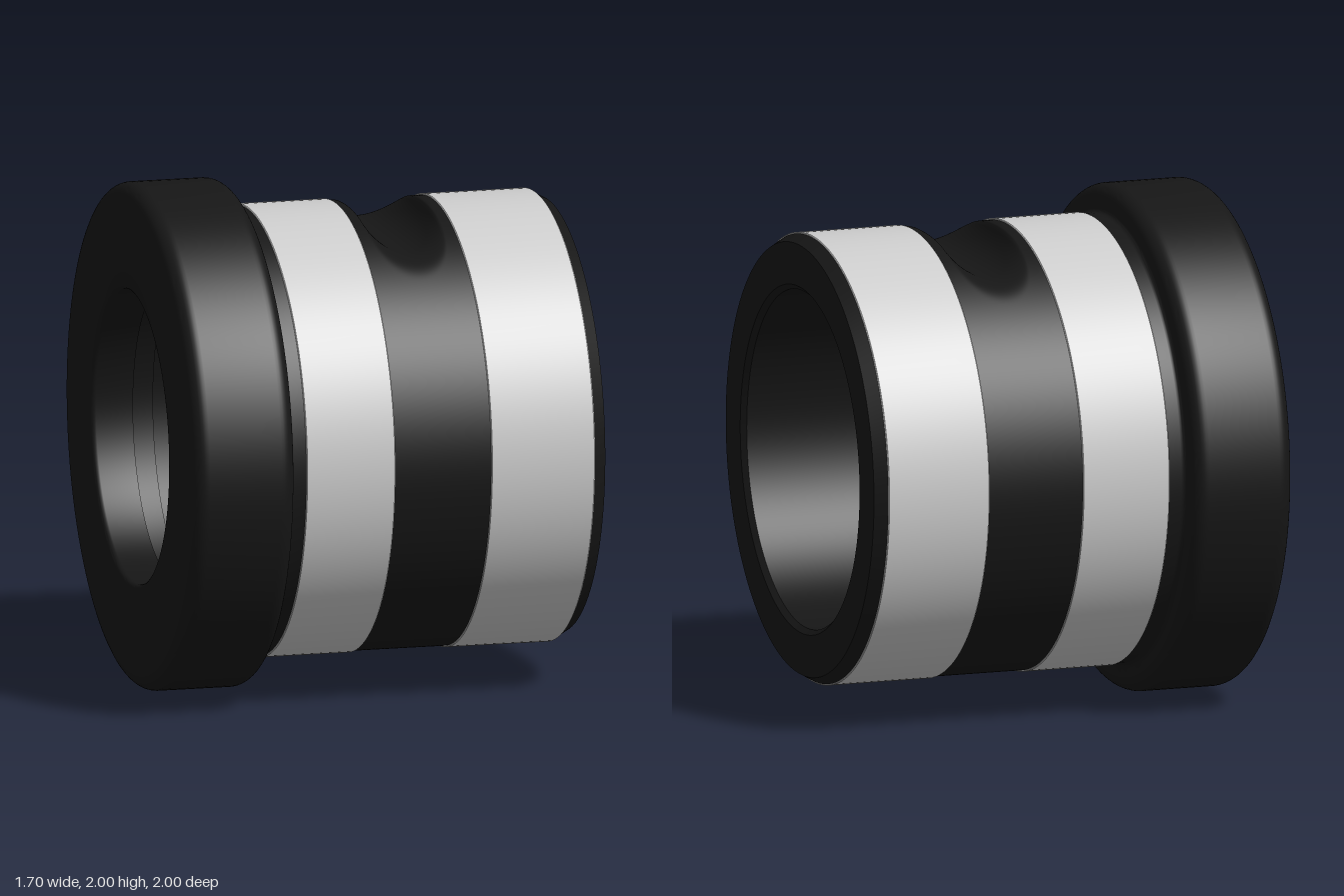
import * as THREE from 'three';
import { mergeVertices, toCreasedNormals } from 'three/addons/utils/BufferGeometryUtils.js';

const BLACK = 0x161616, GREY = 0xcccccc;

// Revolve [axial, radius] points about the x axis, seam at the bottom
function revolve(points, segments = 160) {
  const geo = new THREE.LatheGeometry(points.map(([x, r]) => new THREE.Vector2(r, x)), segments, Math.PI / 2);
  return geo.rotateZ(-Math.PI / 2);
}

// Quarter-round corner of a profile
function arc(cx, cr, radius, from, to, steps = 8) {
  return Array.from({ length: steps + 1 }, (_, i) => {
    const a = THREE.MathUtils.degToRad(from + (to - from) * i / steps);
    return [cx + radius * Math.cos(a), cr + radius * Math.sin(a)];
  });
}

function addPart(group, name, geo, color) {
  const mesh = new THREE.Mesh(geo, new THREE.MeshStandardMaterial({ color }));
  mesh.name = name;
  group.add(mesh);
}

// Middle sleeve with a rounded channel cut across its top
function notchedSleeve(x0, x1, radius) {
  const columns = 64, mid = (x0 + x1) / 2, cut = 0.15, cutHeight = 0.9, blend = 0.06;
  let geo = revolve(Array.from({ length: columns + 1 }, (_, i) => [x0 + (x1 - x0) * i / columns, radius]), 320);
  geo.deleteAttribute('uv');
  geo.deleteAttribute('normal');
  geo = mergeVertices(geo);
  const p = geo.attributes.position;
  for (let i = 0; i < p.count; i++) {
    const d = Math.abs(p.getX(i) - mid), y = p.getY(i);
    const floor = d < cut ? cutHeight - Math.sqrt(cut * cut - d * d) : cutHeight + (d - cut) * 2;
    const h = Math.max(blend - Math.abs(y - floor), 0) / blend;
    p.setY(i, Math.min(y, floor) - h * h * blend / 4);
  }
  geo.computeVertexNormals();
  return geo;
}

export function createModel() {
  const group = new THREE.Group();
  const part = (name, points, color) => addPart(group, name, toCreasedNormals(revolve(points), 0.45), color);

  // Rounded flange with its neck, starting from the lip of the opening
  part('flange', [
    [-0.68, 0.67], [-0.68, 0.58],
    ...arc(-0.83, 0.60, 0.02, 270, 180, 4),
    ...arc(-0.79, 0.94, 0.06, 180, 90),
    ...arc(-0.50, 0.94, 0.06, 90, 0),
    ...arc(-0.42, 0.905, 0.02, 180, 270, 5),
    [-0.37, 0.885],
  ].map(([x, r], i) => (i === 0 ? [x, 0.65] : [x, r])), BLACK);

  // Pale bands standing slightly proud of the body
  for (const [name, a, b] of [['innerBand', -0.37, -0.01], ['outerBand', 0.38, 0.80]]) {
    part(name, [[a, 0.875], [a, 0.888], [a + 0.003, 0.891], [b - 0.003, 0.891], [b, 0.888], [b, 0.875]], GREY);
  }

  addPart(group, 'notchedSleeve', notchedSleeve(-0.01, 0.38, 0.885), BLACK);

  // Chamfered end face and stepped bore
  part('endAndBore', [
    [0.80, 0.885], [0.85, 0.857], [0.85, 0.69], [0.83, 0.67],
    [-0.58, 0.67], [-0.58, 0.65], [-0.68, 0.65],
  ], BLACK);

  group.children.forEach((mesh) => { mesh.position.y = 1; });
  return group;
}
